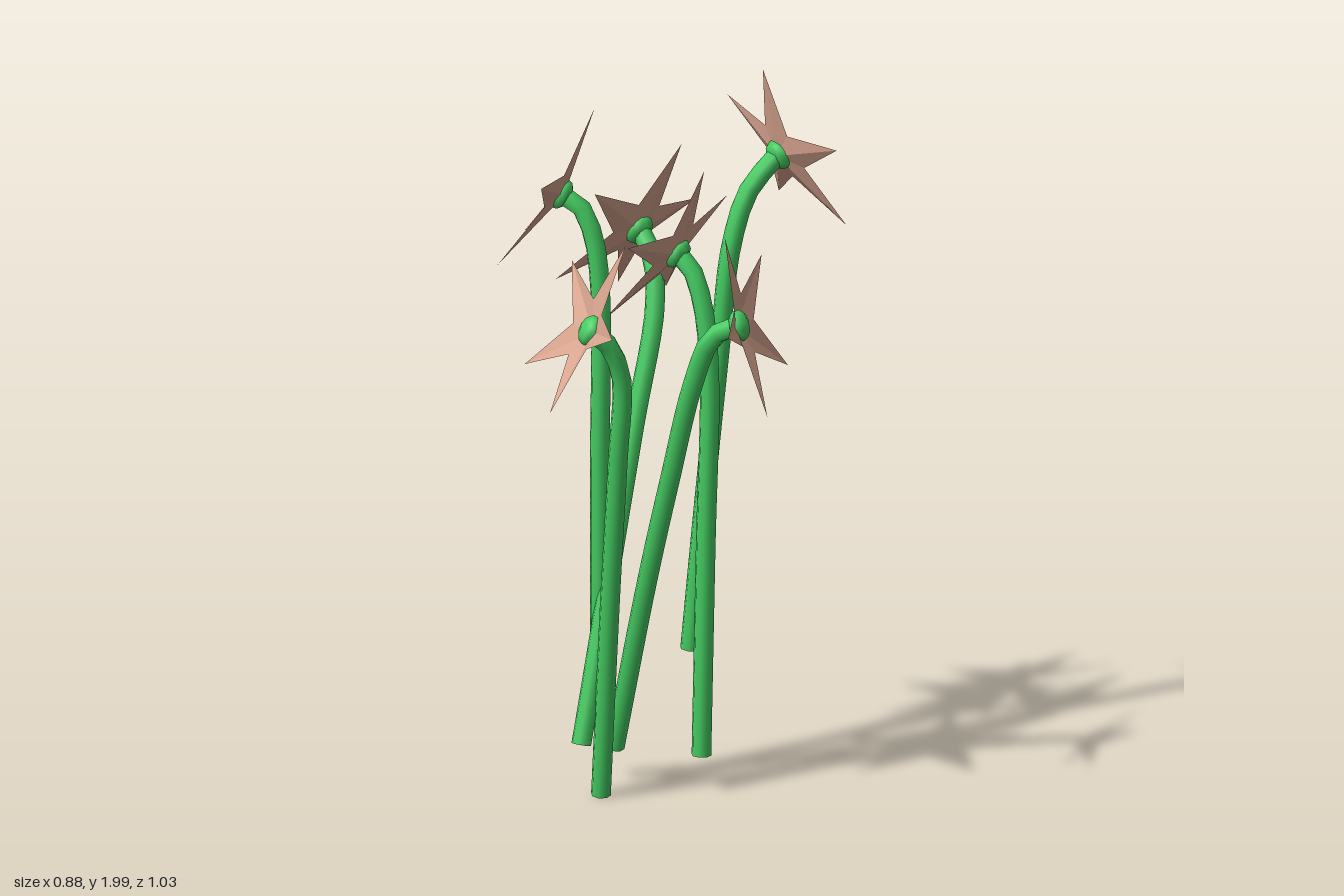
import * as THREE from 'three';

const V = (a) => new THREE.Vector3(...a);
const green = new THREE.MeshStandardMaterial({ color: 0x45cc62 });
const petalPink = new THREE.MeshStandardMaterial({ color: 0xd8a58f, side: THREE.DoubleSide, flatShading: true });

const STEM_R = 0.027, TIP_R = 0.26, VALLEY_R = 0.085, CUP = 0.05, VALLEY_H = 0.025;

// c: centre of the ring of petal tips, n: facing direction, tip: direction of one petal,
// stem: path from the cut end up to the bend
const flowers = [
  { c: [0.265, 1.756, -0.27], n: [0.62, 0.4, -0.69], tip: [-0.055, 0.244, 0.09],
    stem: [[0.02, 0.37, -0.14], [0.06, 0.8, -0.14], [0.1, 1.2, -0.14], [0.13, 1.5, -0.15], [0.17, 1.65, -0.185]] },
  { c: [-0.337, 1.684, 0], n: [-0.87, 0.49, 0], tip: [0.127, 0.226, 0],
    stem: [[-0.195, 0.27, 0], [-0.195, 0.9, 0], [-0.195, 1.42, 0], [-0.215, 1.56, 0], [-0.25, 1.635, 0]] },
  { c: [0.264, 1.39, 0.15], n: [0.96, 0.27, 0], tip: [-0.06, 0.27, 0.05],
    stem: [[-0.18, 0.09, -0.11], [-0.065, 0.6, -0.005], [0.01, 0.9, 0.055], [0.09, 1.2, 0.115], [0.15, 1.34, 0.142]] },
  { c: [-0.186, 1.399, 0.304], n: [-0.75, 0.48, 0.45], tip: [0.126, 0.221, -0.024],
    stem: [[-0.18, 0.005, 0.05], [-0.135, 0.6, 0.13], [-0.1, 1, 0.19], [-0.083, 1.23, 0.222], [-0.11, 1.33, 0.255]] },
  { c: [-0.184, 1.51, -0.294], n: [-0.76, 0.47, -0.44], tip: [0.14, 0.216, -0.011],
    stem: [[-0.22, 0.16, 0.11], [-0.17, 0.6, -0.005], [-0.125, 1, -0.11], [-0.09, 1.3, -0.195], [-0.108, 1.43, -0.24]] },
  { c: [-0.038, 1.51, -0.105], n: [-0.83, 0.485, -0.27], tip: [0.116, 0.227, 0.05],
    stem: [[0.07, 0.1, -0.06], [0.082, 0.7, -0.06], [0.092, 1.15, -0.06], [0.075, 1.34, -0.068], [0.04, 1.45, -0.08]] },
];

// Shallow five-pointed cup: a fan from the centre over alternating tips and valleys
function starGeometry() {
  const ring = [];
  for (let i = 0; i < 10; i++) {
    const a = (i * Math.PI) / 5, tip = i % 2 === 0, r = tip ? TIP_R : VALLEY_R;
    ring.push([-Math.sin(a) * r, Math.cos(a) * r, tip ? CUP : VALLEY_H]);
  }
  const pos = [];
  ring.forEach((p, i) => pos.push(0, 0, 0, ...p, ...ring[(i + 1) % 10]));
  const geo = new THREE.BufferGeometry();
  geo.setAttribute('position', new THREE.Float32BufferAttribute(pos, 3));
  geo.computeVertexNormals();
  return geo;
}

function buildStem(points) {
  const stem = new THREE.Group();
  stem.name = 'stem';
  const curve = new THREE.CatmullRomCurve3(points, false, 'centripetal');
  const tube = new THREE.Mesh(new THREE.TubeGeometry(curve, 24, STEM_R, 8), green);
  tube.name = 'stemTube';
  stem.add(tube);
  // closed ends
  for (const t of [0, 1]) {
    const cap = new THREE.Mesh(new THREE.CircleGeometry(STEM_R, 8), green);
    const p = curve.getPointAt(t);
    cap.name = 'stemEnd';
    cap.position.copy(p);
    cap.lookAt(p.clone().addScaledVector(curve.getTangentAt(t), t ? 1 : -1));
    stem.add(cap);
  }
  return stem;
}

export function createModel() {
  const model = new THREE.Group();
  model.name = 'flowerBunch';
  const star = starGeometry();
  const heart = new THREE.SphereGeometry(0.043, 8, 6);

  for (const f of flowers) {
    const flower = new THREE.Group();
    flower.name = 'flower';
    const n = V(f.n).normalize();
    const base = V(f.c).addScaledVector(n, -CUP);
    flower.add(buildStem([...f.stem.map(V), base]));

    // blossom: z faces outward, y runs along the first petal
    const x = V(f.tip).cross(n).normalize();
    const y = n.clone().cross(x);
    const blossom = new THREE.Group();
    blossom.name = 'blossom';
    blossom.position.copy(base);
    blossom.quaternion.setFromRotationMatrix(new THREE.Matrix4().makeBasis(x, y, n));

    const petals = new THREE.Mesh(star, petalPink);
    petals.name = 'petals';
    const centre = new THREE.Mesh(heart, green);
    centre.name = 'flowerCentre';
    centre.scale.z = 0.65;
    centre.position.z = 0.008;
    blossom.add(petals, centre);
    flower.add(blossom);
    model.add(flower);
  }
  return model;
}
